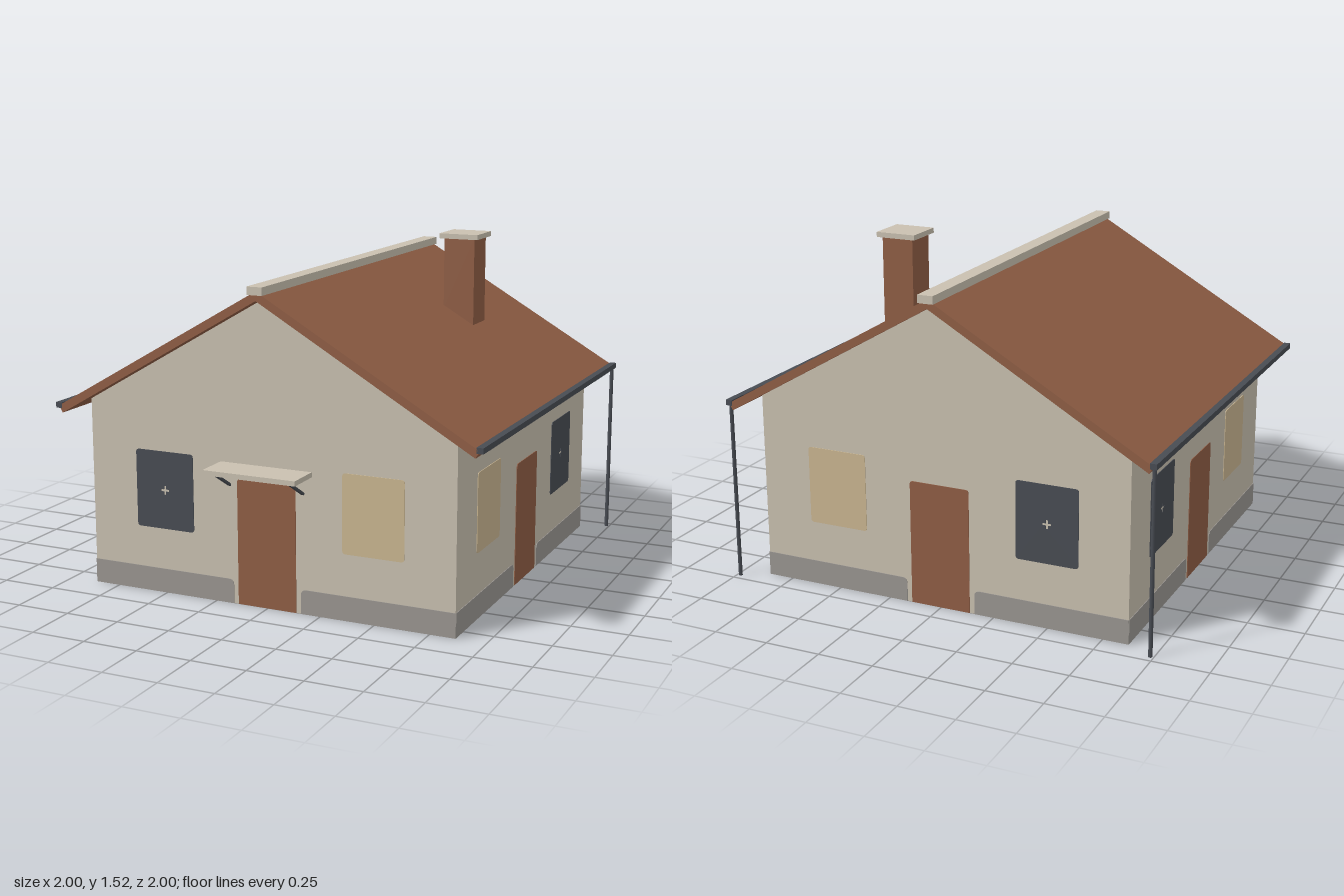
import * as THREE from 'three';

const mat = (name, color) => {
  const m = new THREE.MeshStandardMaterial({ color });
  m.name = name;
  return m;
};

export function createModel() {
  const plaster = mat('plaster', 0xc9c0b0);
  const brick = mat('terracotta', 0x905e45);
  const slate = mat('slate', 0x484c53);
  const stone = mat('plinth grey', 0x9a9691);
  const glow = mat('lit window', 0xcab691);

  const house = new THREE.Group();
  house.name = 'house';

  const add = (name, geo, material, parent = house) => {
    const m = new THREE.Mesh(geo, material);
    m.name = name;
    parent.add(m);
    return m;
  };
  // Box given by its minimum and maximum corners
  const box = (name, material, x0, x1, y0, y1, z0, z1) =>
    add(name, new THREE.BoxGeometry(x1 - x0, y1 - y0, z1 - z0), material)
      .position.set((x0 + x1) / 2, (y0 + y1) / 2, (z0 + z1) / 2);
  const poly = pts => new THREE.Shape(pts.map(p => new THREE.Vector2(...p)));
  // Profile in x,y swept from z0 to z1
  const sweep = (name, material, shape, z0, z1) => {
    const geo = new THREE.ExtrudeGeometry(shape, { depth: z1 - z0, bevelEnabled: false });
    return add(name, geo.translate(0, 0, z0), material);
  };

  const W = 0.865, T = 0.075;        // half width and thickness of the walls
  const Z0 = -0.9, Z1 = 0.84, ZC = -0.03, L = 0.87;
  const SLOPE = 0.578;
  const under = x => 1.35 - SLOPE * Math.abs(x);
  const B = 0.002;

  // Gable walls
  const gable = poly([[-W, B], [W, B], [W, under(W)], [0, 1.35], [-W, under(W)]]);
  sweep('frontWall', plaster, gable, Z1 - T, Z1);
  sweep('backWall', plaster, gable, Z0, Z0 + T);

  // Side walls, roof slopes, gutters and downpipes
  for (const s of [-1, 1]) {
    const side = s > 0 ? 'left' : 'right';
    const wall = [[W - T, B], [W, B], [W, under(W)], [W - T, under(W - T)]];
    sweep(side + 'Wall', plaster, poly(wall.map(([x, y]) => [s * x, y])), Z0 + T, Z1 - T);
    const roof = [[0, 1.35], [0.967, 0.79], [0.985, 0.821], [0, 1.39]];
    sweep(side + 'Roof', brick, poly(roof.map(([x, y]) => [s * x, y])), -0.98, 0.917);
    const gx = s * 0.985;
    box(side + 'Gutter', slate, gx - 0.015, gx + 0.015, 0.81, 0.835, -0.982, 0.917);
    add(side + 'Downpipe', new THREE.CylinderGeometry(0.009, 0.009, 0.815, 10), slate)
      .position.set(gx, 0.4075, -0.965);
  }
  box('ridgeCap', plaster, -0.035, 0.035, 1.375, 1.41, -0.995, 0.928);

  // Foundation strip under the walls
  const ring = poly([[-W, -L], [W, -L], [W, L], [-W, L]]);
  ring.holes.push(poly([[T - W, T - L], [W - T, T - L], [W - T, L - T], [T - W, L - T]]));
  const strip = new THREE.ExtrudeGeometry(ring, { depth: B, bevelEnabled: false });
  strip.rotateX(Math.PI / 2).translate(0, B, ZC);
  add('foundationStrip', strip, stone);

  // Panel outline with rounded top and bottom corners
  const panel = (x0, x1, y0, y1, tl, tr, b) => {
    const s = new THREE.Shape();
    s.moveTo(x0 + b, y0).lineTo(x1 - b, y0);
    if (b) s.quadraticCurveTo(x1, y0, x1, y0 + b);
    s.lineTo(x1, y1 - tr);
    if (tr) s.quadraticCurveTo(x1, y1, x1 - tr, y1);
    s.lineTo(x0 + tl, y1);
    if (tl) s.quadraticCurveTo(x0, y1, x0, y1 - tl);
    s.lineTo(x0, y0 + b);
    if (b) s.quadraticCurveTo(x0, y0, x0 + b, y0);
    return s;
  };
  const darkWindow = panel(-0.64, -0.356, 0.295, 0.645, 0.015, 0.015, 0.015);
  const a = 0.02, c = 0.005;         // small glazing cross in the middle
  darkWindow.holes.push(poly([[a, c], [c, c], [c, a], [-c, a], [-c, c], [-a, c],
    [-a, -c], [-c, -c], [-c, -a], [c, -a], [c, -c], [a, -c]].map(([x, y]) => [x - 0.498, y + 0.47])));
  const litWindow = panel(0.356, 0.637, 0.295, 0.645, 0.015, 0.015, 0.015);
  const door = panel(-0.139, 0.139, B, 0.563, 0.015, 0.015, 0);

  // Painted panels on one wall face; end is half the length of that face
  const paintFace = (name, end) => {
    const face = new THREE.Group();
    face.name = name;
    const plate = (part, shape, material) => {
      const geo = new THREE.ExtrudeGeometry(shape, { depth: 0.006, bevelEnabled: false, curveSegments: 5 });
      add(part, geo.translate(0, 0, -0.003), material, face);
    };
    plate('darkWindow', darkWindow, slate);
    plate('litWindow', litWindow, glow);
    plate('door', door, brick);
    plate('plinthA', panel(-end, -0.162, B, 0.11, 0, 0.025, 0), stone);
    plate('plinthB', panel(0.162, end, B, 0.11, 0.025, 0, 0), stone);
    house.add(face);
    return face;
  };
  paintFace('frontOutside', W).position.z = Z1;
  paintFace('frontInside', W - T).position.z = Z1 - T;
  paintFace('backOutside', W).position.z = Z0;
  paintFace('backInside', W - T).position.z = Z0 + T;
  for (const s of [-1, 1]) {
    for (const [where, x, end] of [['Outside', W, L], ['Inside', W - T, L - T]]) {
      const f = paintFace((s > 0 ? 'left' : 'right') + where, end);
      f.rotation.y = -Math.PI / 2;
      f.position.set(s * x, 0, ZC);
    }
  }

  // Chimney
  sweep('chimney', brick, poly([[0.357, 1.165], [0.505, 1.08], [0.505, 1.5], [0.357, 1.5]]), -0.433, -0.282);
  box('chimneyCap', plaster, 0.338, 0.525, 1.497, 1.52, -0.45, -0.265);

  // Door canopy with slanted brackets
  box('canopy', plaster, -0.218, 0.215, 0.61, 0.632, Z1 - 0.005, 1);
  for (const x of [-0.176, 0.173]) {
    const dz = 0.135, dy = 0.08;
    const bracket = add('canopyBracket', new THREE.BoxGeometry(0.014, 0.01, Math.hypot(dz, dy)), slate);
    bracket.position.set(x, 0.573, Z1 + dz / 2);
    bracket.rotation.x = -Math.atan2(dy, dz);
  }
  return house;
}
